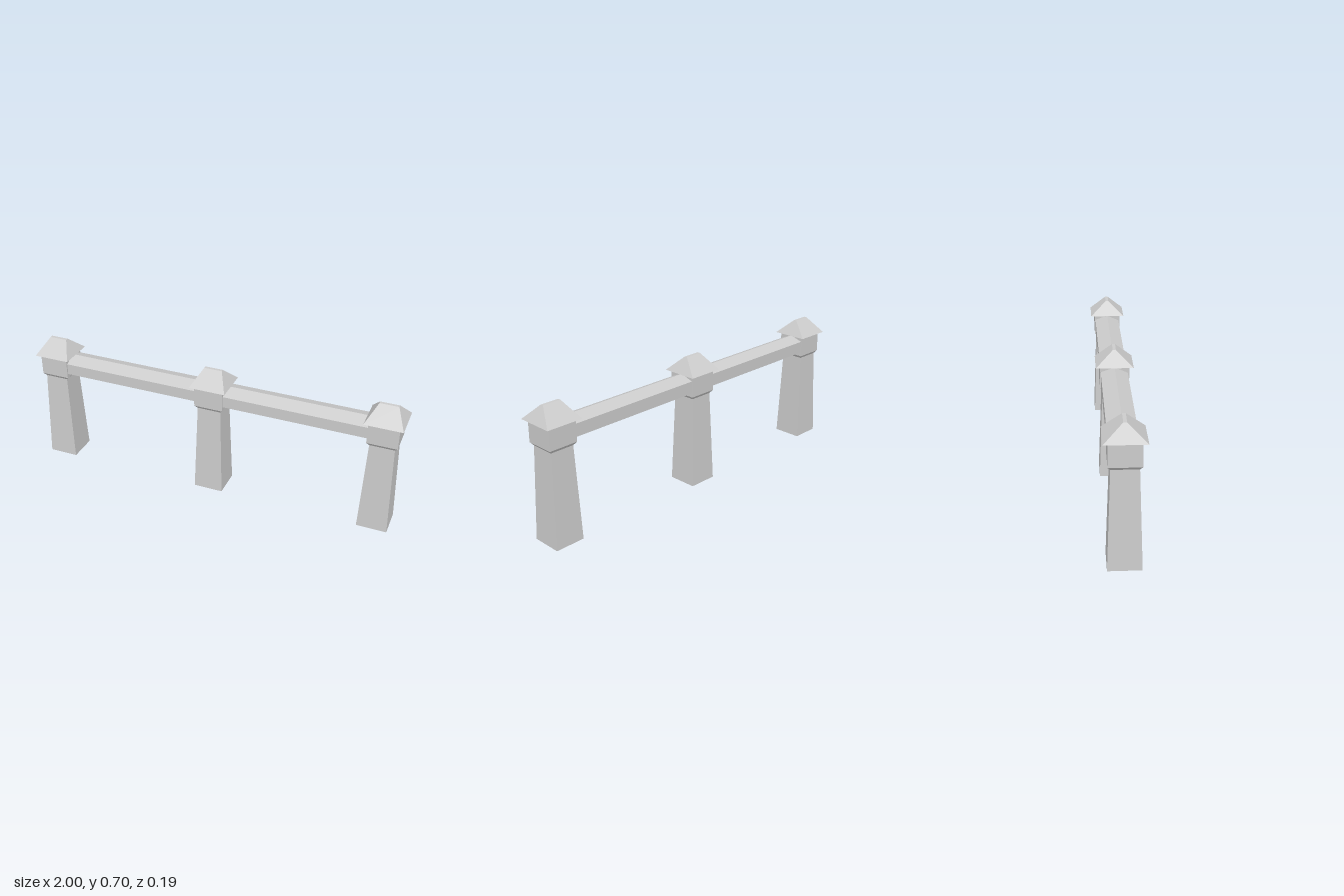
import * as THREE from 'three';

const material = new THREE.MeshStandardMaterial({ color: 0xcccccc, flatShading: true, side: THREE.DoubleSide });

// Stack of rectangular sections [y, halfX, halfZ], optionally capped
function loft(sections, capBottom, capTop) {
  const pos = [];
  const ring = ([y, hx, hz]) => [[-hx, y, hz], [hx, y, hz], [hx, y, -hz], [-hx, y, -hz]];
  const quad = (a, b, c, d) => pos.push(...a, ...b, ...c, ...a, ...c, ...d);
  const rings = sections.map(ring);
  for (let i = 0; i < rings.length - 1; i++) {
    const lo = rings[i], hi = rings[i + 1];
    for (let k = 0; k < 4; k++) {
      const n = (k + 1) % 4;
      quad(lo[k], lo[n], hi[n], hi[k]);
    }
  }
  if (capBottom) quad(...[...rings[0]].reverse());
  if (capTop) quad(...rings[rings.length - 1]);
  const g = new THREE.BufferGeometry();
  g.setAttribute('position', new THREE.Float32BufferAttribute(pos, 3));
  g.computeVertexNormals();
  return g;
}

function part(name, geometry) {
  const mesh = new THREE.Mesh(geometry, material);
  mesh.name = name;
  return mesh;
}

export function createModel() {
  const model = new THREE.Group();
  model.name = 'postAndRailFence';

  // Hollow tapered shaft, flared collar and square head
  const shaft = loft([[0, 0.079, 0.079], [0.492, 0.063, 0.063]]);
  const head = loft([[0.492, 0.063, 0.063], [0.508, 0.077, 0.075], [0.622, 0.077, 0.075]]);
  // Hipped cap with a short flat ridge along x
  const cap = loft([[0.622, 0.097, 0.097], [0.703, 0.048, 0.008]], true, true);

  for (const x of [-0.903, 0, 0.903]) {
    const post = new THREE.Group();
    post.name = 'post';
    post.position.x = x;
    post.add(part('shaft', shaft), part('head', head), part('cap', cap));
    model.add(post);
  }

  // Rails with a ridged top, running between the post heads
  const profile = new THREE.Shape([
    [-0.067, 0.53], [0.071, 0.53], [0.071, 0.595], [0, 0.619], [-0.067, 0.59],
  ].map(([x, y]) => new THREE.Vector2(x, y)));
  const length = 0.76;
  const rail = new THREE.ExtrudeGeometry(profile, { depth: length, bevelEnabled: false });
  rail.translate(0, 0, -length / 2).rotateY(Math.PI / 2);
  for (const side of [-1, 1]) {
    const mesh = part('rail', rail);
    mesh.position.x = side * 0.4515;
    model.add(mesh);
  }

  return model;
}
